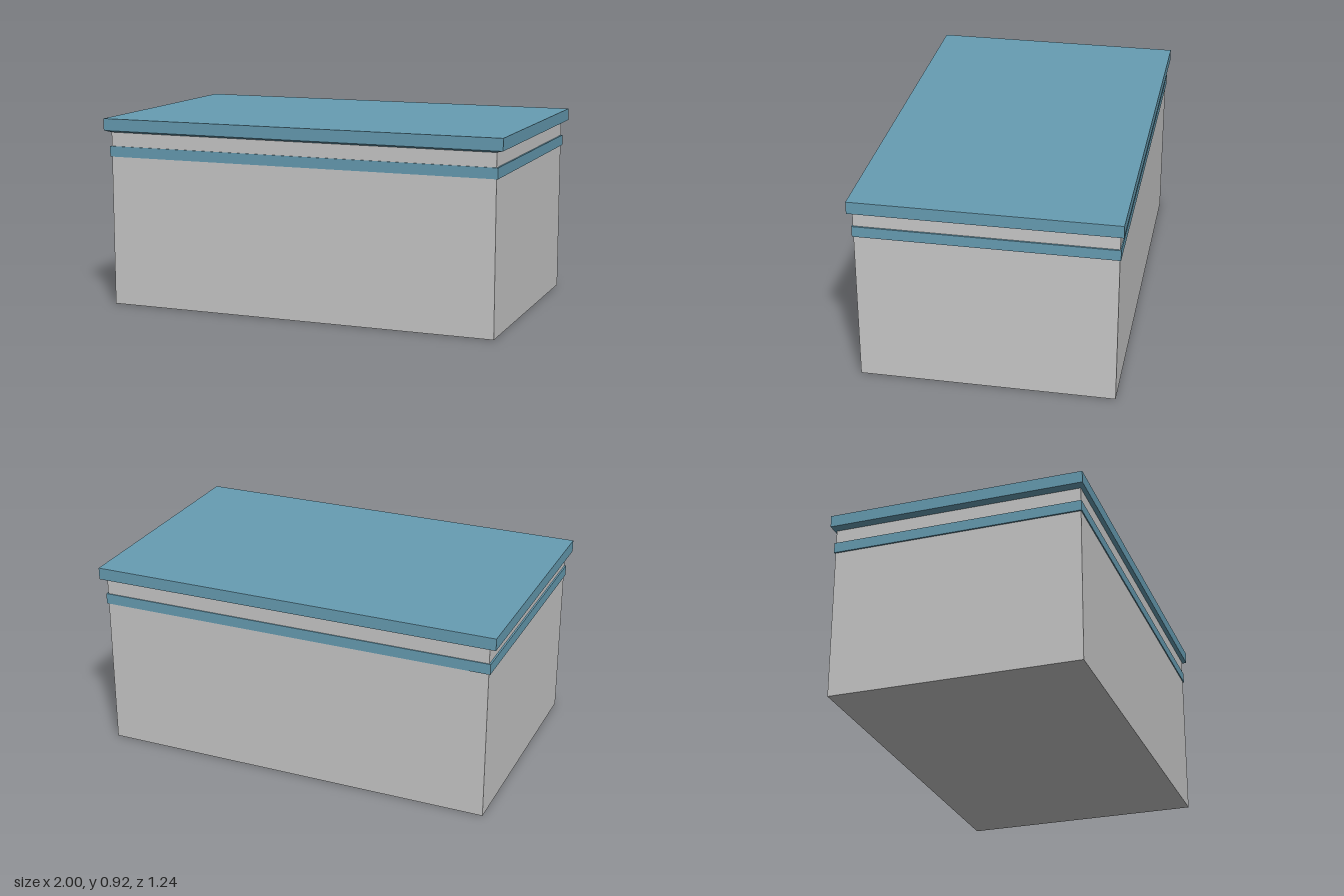
import * as THREE from 'three';

// Four-sided block whose bottom and top rectangles may differ (half sizes in x and z).
function taperedBlock(bottom, top, y0, y1) {
  const geometry = new THREE.BoxGeometry(2, 1, 2).toNonIndexed();
  const p = geometry.attributes.position;
  for (let i = 0; i < p.count; i++) {
    const upper = p.getY(i) > 0;
    const [hx, hz] = upper ? top : bottom;
    p.setXYZ(i, p.getX(i) * hx, upper ? y1 : y0, p.getZ(i) * hz);
  }
  geometry.computeVertexNormals();
  return geometry;
}

export function createModel() {
  const group = new THREE.Group();
  const wall = new THREE.MeshStandardMaterial({ color: 0xc9c9c9 });
  wall.name = 'light grey wall';
  const trim = new THREE.MeshStandardMaterial({ color: 0x679db3 });
  trim.name = 'blue trim';

  const add = (name, material, bottom, top, y0, y1) => {
    const mesh = new THREE.Mesh(taperedBlock(bottom, top, y0, y1), material);
    mesh.name = name;
    group.add(mesh);
  };

  const body = [0.967, 0.6];
  const band = [0.975, 0.605];
  const roof = [1, 0.618];

  add('walls', wall, body, body, 0, 0.858);
  add('trimBand', trim, band, band, 0.734, 0.785);
  // Roof slab with a shallow sloping underside that meets the walls
  add('roofUnderside', trim, body, roof, 0.853, 0.862);
  add('roofSlab', trim, roof, roof, 0.862, 0.92);

  return group;
}
